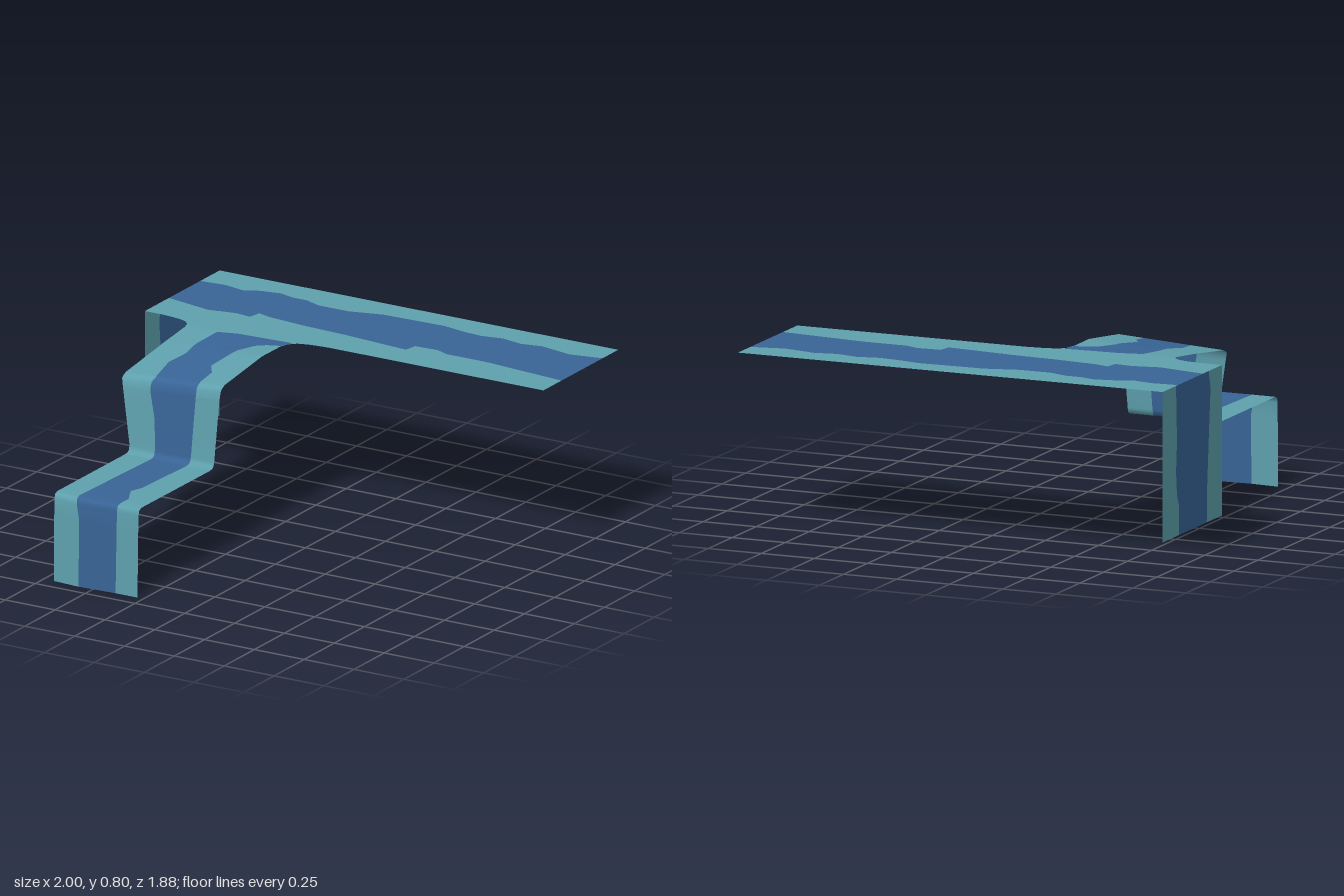
import * as THREE from 'three';

const shallow = new THREE.MeshStandardMaterial({ color: 0x5ea0ad, side: THREE.DoubleSide });
shallow.name = 'shallow teal';
const deep = new THREE.MeshStandardMaterial({ color: 0x386496, side: THREE.DoubleSide });
deep.name = 'deep blue';

// piecewise linear function through [t, value] knots
function curve(knots) {
  const f = (t) => {
    if (t <= knots[0][0]) return knots[0][1];
    for (let i = 1; i < knots.length; i++) {
      const [t0, v0] = knots[i - 1], [t1, v1] = knots[i];
      if (t <= t1) return v0 + (v1 - v0) * (t - t0) / (t1 - t0);
    }
    return knots[knots.length - 1][1];
  };
  f.stations = knots.map((k) => k[0]);
  return f;
}

// all knot positions of several curves, in order
const stations = (...curves) =>
  [...new Set(curves.flatMap((c) => c.stations))].sort((a, b) => a - b);

// sheet of water: each row is four points (edge, stripe, stripe, edge)
function ribbon(name, ts, row) {
  const pos = ts.flatMap((t) => row(t).flat());
  const geo = new THREE.BufferGeometry();
  geo.setAttribute('position', new THREE.Float32BufferAttribute(pos, 3));
  const index = [];
  for (let band = 0; band < 3; band++) {
    const start = index.length;
    for (let r = 0; r < ts.length - 1; r++) {
      const a = r * 4 + band, b = a + 4;
      index.push(a, b, a + 1, b, b + 1, a + 1);
    }
    geo.addGroup(start, index.length - start, band === 1 ? 1 : 0);
  }
  geo.setIndex(index);
  geo.computeVertexNormals();
  const mesh = new THREE.Mesh(geo, [shallow, deep]);
  mesh.name = name;
  return mesh;
}

// long flat channel running along x
function upperChannel() {
  const front = curve([[-1, -0.52], [-0.9, -0.5], [-0.78, -0.475], [-0.65, -0.5], [-0.575, -0.49],
    [-0.565, -0.55], [-0.5, -0.53], [-0.3, -0.51], [-0.1, -0.5], [0.1, -0.48], [0.22, -0.47],
    [0.23, -0.53], [0.34, -0.535], [0.4, -0.51], [0.6, -0.51], [0.8, -0.49], [1, -0.47]]);
  const back = curve([[-1, -0.78], [-0.88, -0.79], [-0.78, -0.77], [-0.72, -0.8], [-0.62, -0.82],
    [-0.55, -0.8], [-0.48, -0.8], [-0.4, -0.77], [-0.25, -0.77], [-0.1, -0.81], [0.2, -0.82],
    [0.3, -0.8], [0.4, -0.79], [0.5, -0.81], [0.6, -0.79], [0.7, -0.81], [0.85, -0.78], [1, -0.81]]);
  return ribbon('upperChannel', stations(front, back), (x) =>
    [-0.32, front(x), back(x), -0.94].map((z) => [x, 0.8, z]));
}

// sheet dropping from the end of the channel
function sideFall() {
  const back = curve([[0, -0.8], [0.25, -0.79], [0.38, -0.8], [0.48, -0.79], [0.53, -0.77], [0.66, -0.77]]);
  const front = curve([[0, -0.46], [0.08, -0.44], [0.25, -0.455], [0.5, -0.475], [0.66, -0.48]]);
  return ribbon('sideFall', stations(back, front), (d) =>
    [-0.94, back(d), front(d), -0.32].map((z) => [-1, 0.8 - d, z]));
}

// stepped branch, described along its flow length
function steppedFall() {
  const z = curve([[0, -0.32], [0.56, 0.24], [0.585, 0.262], [0.6, 0.273], [0.63, 0.282], [0.88, 0.302],
    [0.9, 0.308], [0.915, 0.32], [0.94, 0.345], [1.49, 0.9], [1.51, 0.918], [1.53, 0.925], [1.91, 0.93]]);
  const y = curve([[0, 0.8], [0.07, 0.8], [0.25, 0.79], [0.42, 0.768], [0.56, 0.75], [0.585, 0.74],
    [0.6, 0.73], [0.63, 0.69], [0.88, 0.43], [0.9, 0.41], [0.915, 0.402], [0.94, 0.4], [1.49, 0.4],
    [1.51, 0.393], [1.53, 0.37], [1.91, 0]]);
  const tilt = curve([[0.05, 0], [0.25, 0.012], [0.56, 0.014], [0.63, 0.012], [0.88, 0]]);
  const bulge = curve([[1.47, 0], [1.53, 0.008], [1.91, 0.01]]);
  const left = curve([[0, -0.9], [0.01, -0.82], [0.025, -0.78], [0.05, -0.757], [0.08, -0.75],
    [0.6, -0.755], [0.63, -0.745], [0.88, -0.7], [1.91, -0.7]]);
  const right = curve([[0, -0.08], [0.01, -0.17], [0.025, -0.22], [0.05, -0.245], [0.1, -0.26],
    [0.6, -0.26], [0.88, -0.275], [1.91, -0.28]]);
  const stripeL = curve([[0.03, -0.24], [0.045, -0.5], [0.07, -0.595], [0.22, -0.61], [0.32, -0.6],
    [0.42, -0.625], [0.57, -0.6], [0.62, -0.61], [0.75, -0.58], [0.94, -0.57], [1.2, -0.58], [1.49, -0.59],
    [1.6, -0.57], [1.91, -0.57]]);
  const stripeR = curve([[0.03, -0.24], [0.09, -0.26], [0.11, -0.32], [0.14, -0.36], [0.22, -0.4],
    [0.4, -0.425], [0.46, -0.385], [0.62, -0.38], [0.94, -0.395], [1.27, -0.41], [1.33, -0.43],
    [1.42, -0.385], [1.91, -0.39]]);
  return ribbon('steppedFall', stations(z, y, tilt, left, right, stripeL, stripeR), (s) => {
    const xl = left(s), xr = right(s);
    const xs = [xl, Math.max(xl, Math.min(xr, stripeL(s))), Math.min(xr, stripeR(s)), xr];
    return xs.map((x, i) => [
      x,
      y(s) + tilt(s) * ((x - xl) / (xr - xl) * 2 - 1),
      z(s) + (i === 1 ? bulge(s) : 0),
    ]);
  });
}

export function createModel() {
  const group = new THREE.Group();
  group.name = 'waterfall';
  group.add(upperChannel(), sideFall(), steppedFall());
  return group;
}
